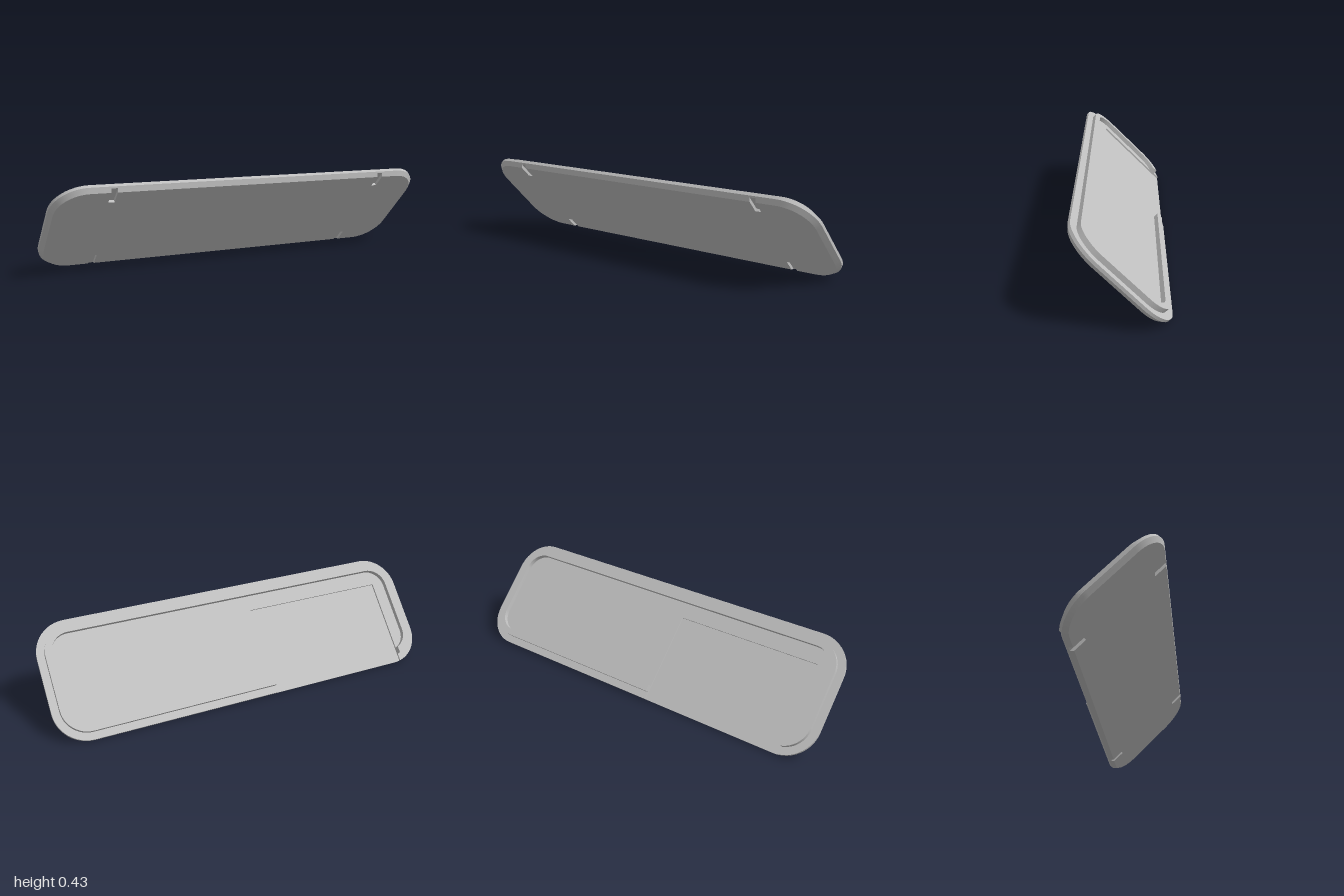
import * as THREE from 'three';
import { toCreasedNormals } from 'three/addons/utils/BufferGeometryUtils.js';

// Corner arc centres, base corner radius
const CX = 0.835, CY = 0.135, R = 0.165;
// Opening in the rim and recess below it
const GAP0 = 0.116, GAP1 = 0.867, RECESS_TOP = 0.153;

function arc(cx, cy, r, a0, a1, steps = 12) {
  const pts = [];
  for (let i = 0; i <= steps; i++) {
    const a = a0 + ((a1 - a0) * i) / steps;
    pts.push(new THREE.Vector2(cx + r * Math.cos(a), cy + r * Math.sin(a)));
  }
  return pts;
}

// The three corners after the lower right one, counter-clockwise
function upperArcs(g) {
  const q = Math.PI / 2;
  return [arc(CX, CY, R + g, 0, q), arc(-CX, CY, R + g, q, 2 * q), arc(-CX, -CY, R + g, 2 * q, 3 * q)];
}

// Slot notch running in from a long edge
function notch(x, side, edge) {
  const w = 0.015 * side, depth = 0.21;
  return [[x + w, edge], [x + w, depth], [x - w, depth], [x - w, edge]]
    .map(([px, py]) => new THREE.Vector2(px, py * side));
}

// Closed rounded rectangle grown by g, with or without slot notches
function outline(g, slots) {
  const [ur, ul, ll] = upperArcs(g);
  const edge = CY + R + g;
  const cut = (side) => (slots ? [0.725, -0.725].flatMap((x) => notch(x * side, side, edge)) : []);
  return [...arc(CX, -CY, R + g, -Math.PI / 2, 0), ...ur, ...cut(1), ...ul, ...ll, ...cut(-1)];
}

// Open track around the plate, from one side of the gap to the other
function track(g) {
  const start = -Math.acos((GAP1 - CX) / (R + g));
  return [...arc(CX, -CY, R + g, start, 0), ...upperArcs(g).flat(),
    new THREE.Vector2(GAP0, -CY - R - g)];
}

// Solid between two matching outlines at heights h0 and h1
function loft(lower, upper, h0, h1) {
  const pos = [];
  const put = (p, h) => pos.push(p.x, p.y, h);
  const n = lower.length;
  for (let i = 0; i < n; i++) {
    const j = (i + 1) % n;
    put(lower[i], h0); put(lower[j], h0); put(upper[j], h1);
    put(lower[i], h0); put(upper[j], h1); put(upper[i], h1);
  }
  for (const [a, b, c] of THREE.ShapeUtils.triangulateShape(lower, [])) {
    put(upper[a], h1); put(upper[b], h1); put(upper[c], h1);
    put(lower[c], h0); put(lower[b], h0); put(lower[a], h0);
  }
  const geo = new THREE.BufferGeometry();
  geo.setAttribute('position', new THREE.Float32BufferAttribute(pos, 3));
  return toCreasedNormals(geo, 0.4);
}

export function createModel() {
  const model = new THREE.Group();
  model.name = 'tiltedTray';
  const grey = new THREE.MeshStandardMaterial({ color: 0xc0c0c0 });
  grey.name = 'light grey';

  // Tray frame: y runs up the slope, z points out of the dish side
  const tray = new THREE.Group();
  tray.name = 'tray';
  const s = Math.SQRT1_2;
  tray.quaternion.setFromRotationMatrix(new THREE.Matrix4().makeBasis(
    new THREE.Vector3(-1, 0, 0), new THREE.Vector3(0, s, s), new THREE.Vector3(0, s, -s)));
  tray.position.set(0, 0.155 * s, 0.155 * s - 0.002);
  model.add(tray);

  const add = (name, lower, upper, h0, h1) => {
    const mesh = new THREE.Mesh(loft(lower, upper, h0, h1), grey);
    mesh.name = name;
    tray.add(mesh);
  };

  // Chamfered underside with four slots
  add('slottedUnderside', outline(-0.02, true), outline(-0.006, true), 0.125, 0.139);
  add('chamferedBase', outline(-0.006, false), outline(0, false), 0.139, 0.145);
  add('plateCore', outline(0, false), outline(0, false), 0.145, 0.151);

  // Top layer of the plate, cut away for the square recess
  const top = [...track(0), new THREE.Vector2(GAP0, RECESS_TOP), new THREE.Vector2(GAP1, RECESS_TOP)];
  add('recessedPlateTop', top, top, 0.151, 0.16);

  // Raised rim with an opening at the recess
  const rim = [...track(-0.037), ...track(-0.07).reverse()];
  add('raisedRim', rim, rim, 0.16, 0.185);

  return model;
}
